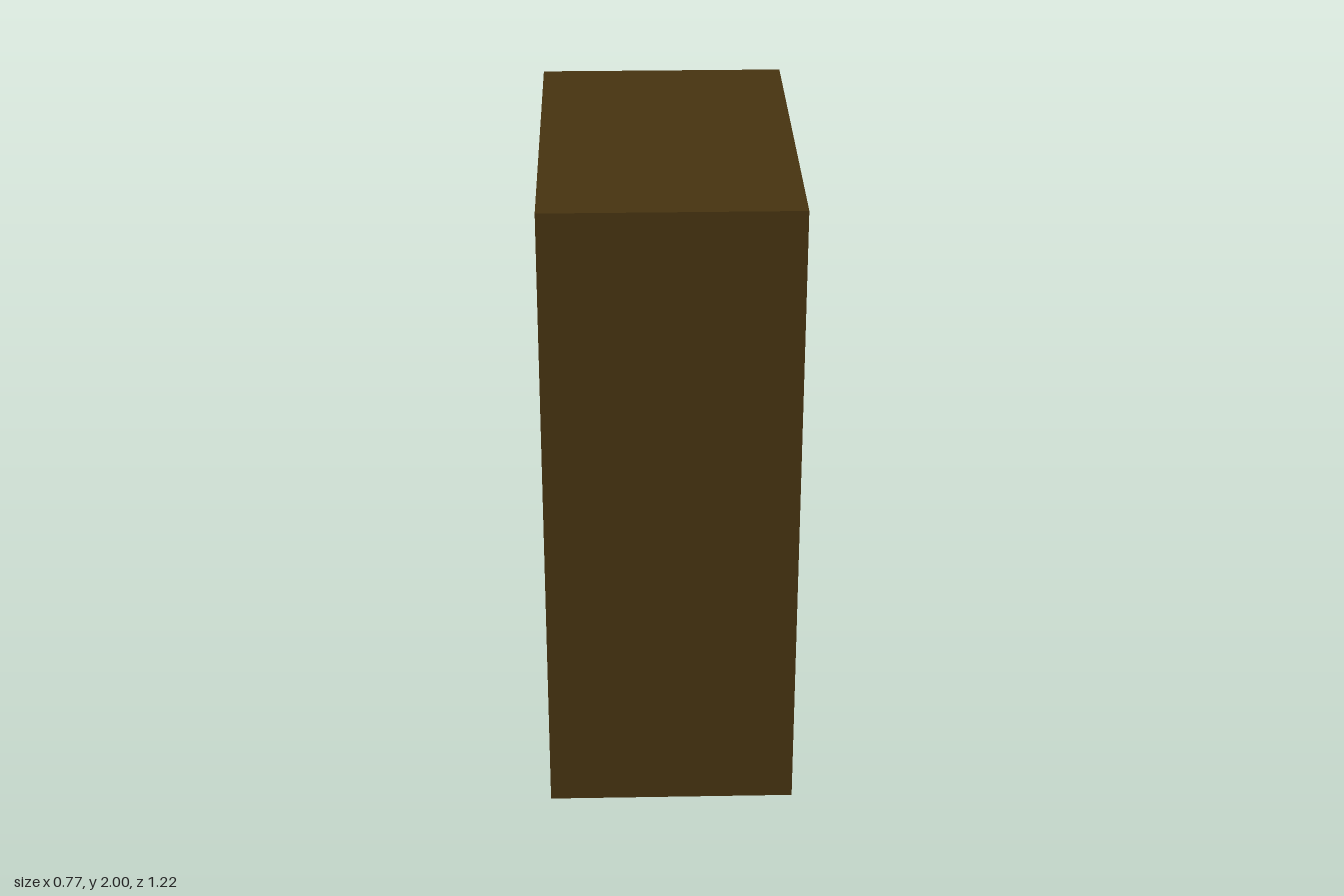
import * as THREE from 'three';

const mat = (color, side = THREE.FrontSide) => new THREE.MeshStandardMaterial({ color, side });

function add(parent, name, geometry, material) {
  const mesh = new THREE.Mesh(geometry, material);
  mesh.name = name;
  parent.add(mesh);
  return mesh;
}

// Round rod between two points
function rod(parent, name, from, to, radius, sides, material) {
  const a = new THREE.Vector3(...from), b = new THREE.Vector3(...to);
  const dir = b.clone().sub(a);
  const mesh = add(parent, name, new THREE.CylinderGeometry(radius, radius, dir.length(), sides), material);
  mesh.position.copy(a).add(b).multiplyScalar(0.5);
  mesh.quaternion.setFromUnitVectors(new THREE.Vector3(0, 1, 0), dir.normalize());
  return mesh;
}

// Box open towards +x, whose recess slopes in to a smaller panel
function cabinetGeometry() {
  const ring = (x, y0, y1, z) => [[x, y0, z], [x, y0, -z], [x, y1, -z], [x, y1, z]];
  const rings = [
    ring(-0.383, 0, 2, 0.61),
    ring(0.383, 0, 2, 0.61),
    ring(0.095, 0.345, 1.655, 0.345),
  ];
  const points = [];
  const quad = (a, b, c, d) => points.push(...a, ...b, ...c, ...a, ...c, ...d);
  for (let r = 0; r < 2; r++) {
    for (let i = 0; i < 4; i++) {
      const j = (i + 1) % 4;
      quad(rings[r][i], rings[r][j], rings[r + 1][j], rings[r + 1][i]);
    }
  }
  quad(...[...rings[0]].reverse());
  quad(...rings[2]);
  const geometry = new THREE.BufferGeometry();
  geometry.setAttribute('position', new THREE.Float32BufferAttribute(points, 3));
  geometry.computeVertexNormals();
  return geometry;
}

export function createModel() {
  const model = new THREE.Group();
  add(model, 'cabinet', cabinetGeometry(), mat(0x463310, THREE.DoubleSide));

  const styles = {
    red: [mat(0xa00808), mat(0xf0f0f0)],
    white: [mat(0xdcdcdc), mat(0x0c1c78)],
    yellow: [mat(0xe6b800), mat(0x6a10d0)],
  };
  const stickMaterial = mat(0xb8a010);

  // Blunt cone, pointing out of the cabinet
  const profile = [[0, -0.04], [0.034, -0.038], [0.042, -0.026], [0.039, -0.008], [0.028, 0.018], [0.014, 0.038], [0, 0.045]];
  const headGeometry = new THREE.LatheGeometry(profile.map(p => new THREE.Vector2(...p)), 24);
  headGeometry.rotateZ(-Math.PI / 2);
  headGeometry.scale(1, 1.08, 0.95);

  // style, z, y, stick height, stick lean
  const pegs = [
    ['red', 0.254, 1.526, 0.07, 0], ['white', 0.01, 1.52, 0.065, 0], ['yellow', -0.238, 1.515, 0.06, -0.005],
    ['yellow', 0.244, 1.145, 0.053, 0], ['red', -0.01, 1.134, 0.085, 0.013], ['white', -0.228, 1.13, 0.088, -0.01],
    ['white', 0.275, 0.705, 0.09, 0], ['yellow', -0.008, 0.71, 0.085, 0.005], ['red', -0.217, 0.731, 0.075, 0],
  ];
  for (const [style, z, y, height, lean] of pegs) {
    const peg = new THREE.Group();
    peg.name = 'peg';
    peg.position.set(0.165, y, z);
    add(peg, 'head', headGeometry, styles[style][0]);
    rod(peg, 'body', [-0.012, 0, 0], [-0.037, -0.09, 0], 0.028, 20, styles[style][1]);
    rod(peg, 'stick', [-0.022, 0, 0], [-0.055, height, lean], 0.008, 10, stickMaterial);
    model.add(peg);
  }
  return model;
}
